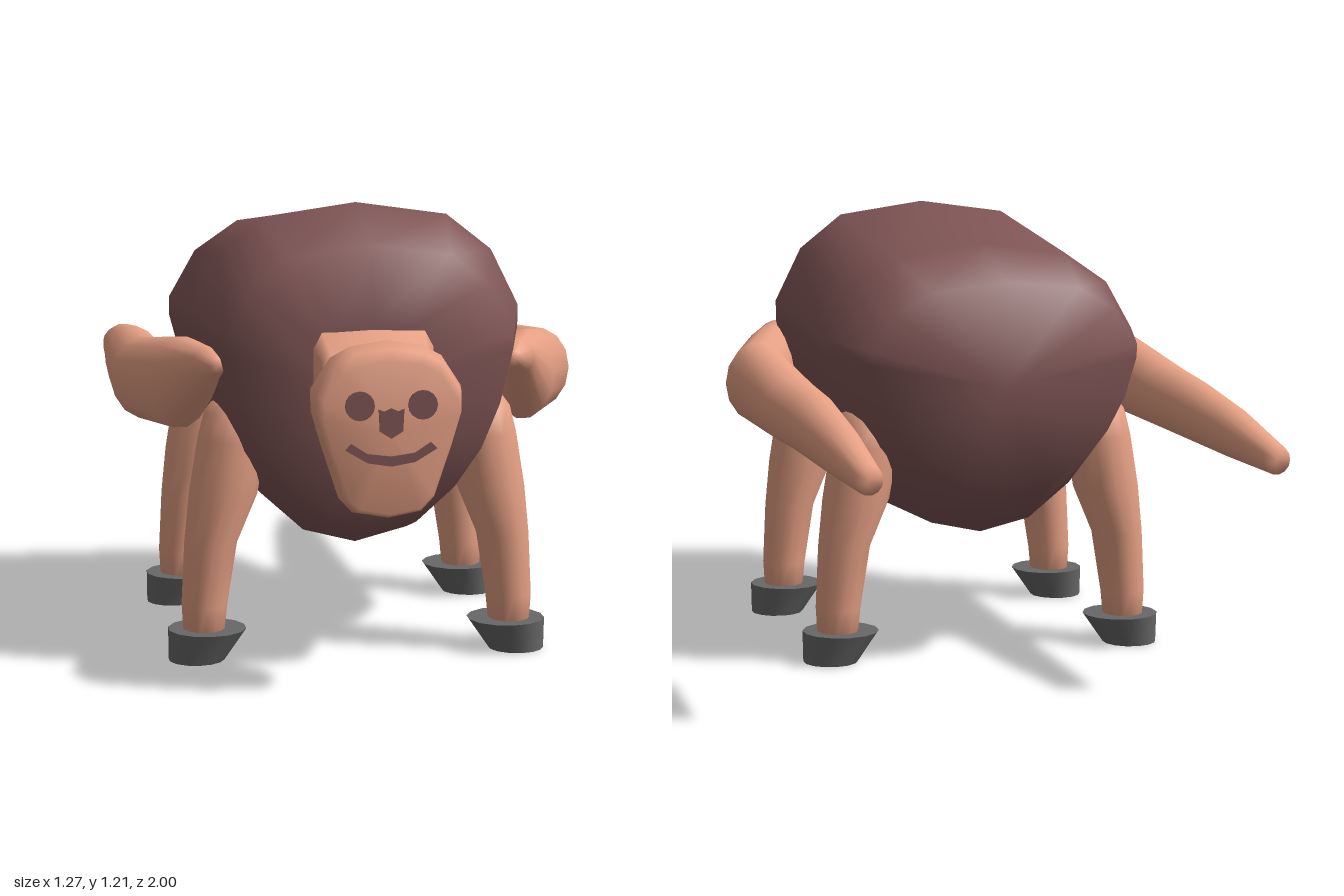
import * as THREE from 'three';

// Closed smooth skin through equal-length rings of points; flatCaps keeps hard end edges
function loft(rings, flatCaps = false) {
  const n = rings[0].length, pos = [], idx = [];
  const add = (p) => pos.push(p[0], p[1], p[2]) / 3 - 1;
  const starts = rings.map((ring) => ring.map(add)[0]);
  for (let i = 0; i < rings.length - 1; i++) {
    for (let j = 0; j < n; j++) {
      const k = (j + 1) % n, a = starts[i], b = starts[i + 1];
      idx.push(a + j, a + k, b + k, a + j, b + k, b + j);
    }
  }
  const cap = (ring, start, front) => {
    const base = flatCaps ? ring.map(add)[0] : start;
    const c = add([0, 1, 2].map((k) => ring.reduce((s, p) => s + p[k], 0) / n));
    for (let j = 0; j < n; j++) {
      const k = (j + 1) % n;
      if (front) idx.push(c, base + j, base + k);
      else idx.push(c, base + k, base + j);
    }
  };
  cap(rings[0], starts[0], false);
  cap(rings[rings.length - 1], starts[starts.length - 1], true);
  const g = new THREE.BufferGeometry();
  g.setAttribute('position', new THREE.Float32BufferAttribute(pos, 3));
  g.setIndex(idx);
  g.computeVertexNormals();
  return g;
}

// Mirrored section from a half outline (bottom to top, x and y in 0..1)
function section(half, [z, hw, y0, y1]) {
  const right = half.map(([x, y]) => [x * hw, y0 + y * (y1 - y0), z]);
  const left = right.slice(1, -1).reverse().map(([x, y]) => [-x, y, z]);
  return [...right, ...left];
}

const SIDES = 14;
const angles = Array.from({ length: SIDES }, (_, i) => (i / SIDES) * Math.PI * 2);
const ringZ = (z, x, y, rx, ry) => angles.map((a) => [x + rx * Math.cos(a), y + ry * Math.sin(a), z]);
const ringY = (y, x, z, rx, rz) => angles.map((a) => [x + rx * Math.sin(a), y, z + rz * Math.cos(a)]);

export function createModel() {
  const model = new THREE.Group();
  model.name = 'creature';
  const material = (name, color) => Object.assign(new THREE.MeshStandardMaterial({ color }), { name });
  const fur = material('brown fur', 0x805555);
  const skin = material('peach skin', 0xe6a084);
  const hoof = material('grey hoof', 0x686868);

  const part = (name, geometry, mat) => {
    const mesh = new THREE.Mesh(geometry, mat);
    mesh.name = name;
    model.add(mesh);
    return mesh;
  };

  // Barrel body, back to front: z, half width, bottom, top
  const bodyHalf = [[0, 0], [0.32, 0.04], [0.59, 0.158], [0.78, 0.29], [0.91, 0.443],
    [1, 0.63], [1, 0.694], [0.83, 0.858], [0.555, 0.962], [0, 1]];
  part('body', loft([
    [-0.41, 0.37, 0.475, 1.055], [-0.17, 0.44, 0.335, 1.135], [0.43, 0.44, 0.297, 1.212],
    [0.70, 0.37, 0.375, 1.13], [0.73, 0.16, 0.57, 0.93],
  ].map((s) => section(bodyHalf, s))), fur);

  // Short neck flaring into the body
  const neckHalf = [[0, 0], [0.7, 0.02], [0.97, 0.18], [1, 0.5], [1, 0.85], [0.86, 0.98], [0, 1]];
  part('neck', loft([
    [0.68, 0.155, 0.59, 0.93], [0.73, 0.155, 0.605, 0.915], [0.79, 0.145, 0.64, 0.88], [0.85, 0.145, 0.64, 0.87],
  ].map((s) => section(neckHalf, s))), skin);

  // Head tapering to the chin
  const headHalf = [[0, 0], [0.45, 0.035], [0.63, 0.12], [0.87, 0.43], [1, 0.62],
    [1, 0.74], [0.74, 0.91], [0.48, 0.97], [0, 1]];
  part('head', loft([
    [0.795, 0.15, 0.63, 0.88], [0.835, 0.175, 0.487, 0.887], [0.91, 0.19, 0.465, 0.915],
    [0.96, 0.183, 0.475, 0.9], [0.994, 0.167, 0.49, 0.875],
  ].map((s) => section(headHalf, s))), skin);

  // Painted face plates
  const plate = (name, shape) => {
    const g = new THREE.ExtrudeGeometry(shape, { depth: 0.006, bevelEnabled: false, curveSegments: 8 });
    part(name, g, fur).position.z = 0.994;
  };
  const polygon = (points) => new THREE.Shape(points.map(([x, y]) => new THREE.Vector2(x, y)));
  for (const s of [1, -1]) {
    plate(s > 0 ? 'leftEye' : 'rightEye', new THREE.Shape().absarc(s * 0.079, 0.765, 0.037, 0, Math.PI * 2));
  }
  plate('nose', polygon([[-0.032, 0.756], [-0.029, 0.7], [0, 0.682], [0.029, 0.7], [0.032, 0.756],
    [0.018, 0.75], [0, 0.758], [-0.018, 0.75]]));
  plate('mouth', polygon([[-0.115, 0.655], [-0.06, 0.622], [0, 0.612], [0.06, 0.622], [0.115, 0.655],
    [0.1, 0.671], [0.06, 0.645], [0, 0.637], [-0.06, 0.645], [-0.1, 0.671]]));

  for (const s of [1, -1]) {
    const side = s > 0 ? 'left' : 'right';

    // Long arm swept backward: z, x, y, half width, half height
    part(side + 'Arm', loft([
      [-1, 0.534, 0.643, 0.037, 0.038], [-0.7, 0.532, 0.672, 0.06, 0.067], [-0.4, 0.53, 0.693, 0.078, 0.083],
      [-0.2, 0.535, 0.70, 0.085, 0.09], [0.22, 0.541, 0.723, 0.093, 0.113], [0.4, 0.466, 0.738, 0.085, 0.125],
      [0.58, 0.405, 0.812, 0.05, 0.045], [0.63, 0.39, 0.815, 0.02, 0.02],
    ].map(([z, x, y, rx, ry]) => ringZ(z, s * x, y, rx, ry))), skin);

    for (const [end, z] of [['Front', 0.475], ['Back', -0.19]]) {
      // Leg leaning inward to the body: y, x, half width, half depth
      part(side + end + 'Leg', loft([
        [0.06, 0.415, 0.054, 0.058], [0.15, 0.413, 0.061, 0.068], [0.32, 0.395, 0.07, 0.086],
        [0.45, 0.361, 0.091, 0.096], [0.6, 0.335, 0.092, 0.102], [0.67, 0.325, 0.085, 0.08],
        [0.71, 0.33, 0.05, 0.045],
      ].map(([y, x, rx, rz]) => ringY(y, s * x, z, rx, rz))), skin);

      // Hoof flaring toward the inside
      part(side + end + 'Hoof', loft([
        ringY(0, s * 0.435, z, 0.075, 0.075), ringY(0.085, s * 0.406, z, 0.105, 0.105),
      ], true), hoof);
    }
  }
  return model;
}
